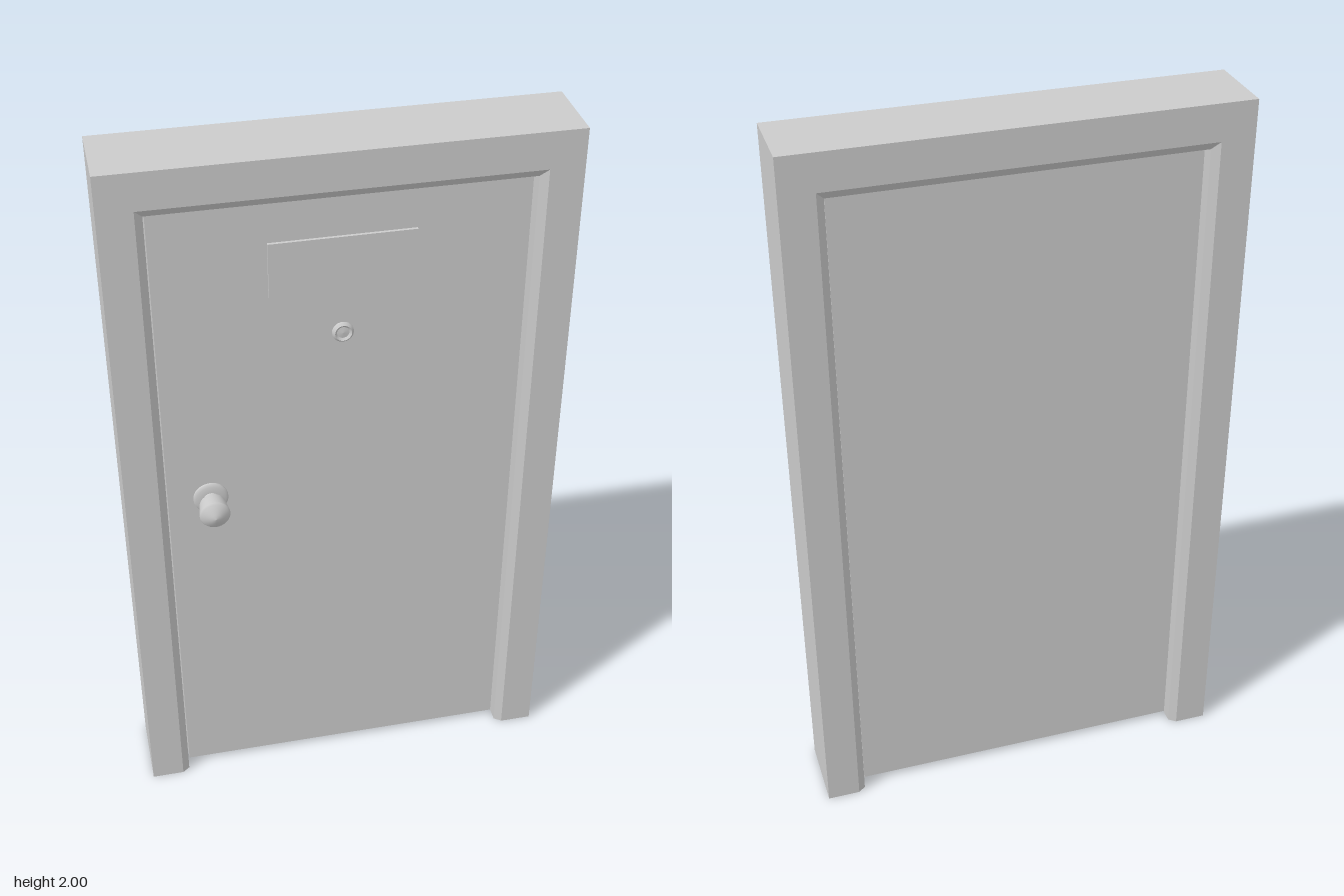
import * as THREE from 'three';

const grey = new THREE.MeshStandardMaterial({ color: 0xcccccc });

function add(group, name, geometry, x = 0, y = 0, z = 0) {
  const mesh = new THREE.Mesh(geometry, grey);
  mesh.name = name;
  mesh.position.set(x, y, z);
  group.add(mesh);
  return mesh;
}

// Mitred door frame: one jamb profile swept up, across and down
function frameGeometry() {
  // [inset from the outer edge, z]
  const profile = [[0, 0.075], [0.09, 0.075], [0.11, 0.06], [0.11, -0.12], [0.09, -0.135], [0, -0.135]];
  const stations = [[-1, 0], [-1, 1], [1, 1], [1, 0]]; // [side, at top]
  const n = profile.length;
  const point = (s, i) => {
    const [inset, z] = profile[i % n];
    const [side, top] = stations[s];
    return [side * (0.59 - inset), top ? 2 - inset * 1.1 : 0, z];
  };
  const pos = [];
  const tri = (a, b, c) => pos.push(...a, ...b, ...c);
  for (let s = 0; s < stations.length - 1; s++) {
    for (let i = 0; i < n; i++) {
      const a = point(s, i), b = point(s, i + 1), c = point(s + 1, i + 1), d = point(s + 1, i);
      tri(a, b, c);
      tri(a, c, d);
    }
  }
  // Feet of the two jambs
  for (let i = 1; i < n - 1; i++) {
    tri(point(0, 0), point(0, i + 1), point(0, i));
    tri(point(3, 0), point(3, i), point(3, i + 1));
  }
  const geometry = new THREE.BufferGeometry();
  geometry.setAttribute('position', new THREE.Float32BufferAttribute(pos, 3));
  geometry.computeVertexNormals();
  return geometry;
}

// Turned part whose axis points forward; each run of [radius, z] is smooth within itself
function turned(group, name, runs, x, y, segments = 32) {
  const part = new THREE.Group();
  part.name = name;
  part.position.set(x, y, 0);
  for (const run of runs) {
    const points = run.map(([r, z]) => new THREE.Vector2(r, z));
    const geometry = new THREE.LatheGeometry(points, segments).rotateX(Math.PI / 2);
    add(part, name + 'Surface', geometry);
  }
  group.add(part);
}

export function createModel() {
  const model = new THREE.Group();
  model.name = 'door';

  add(model, 'frame', frameGeometry());

  // Door leaf, set back from both faces of the frame
  add(model, 'doorLeaf', new THREE.BoxGeometry(0.95, 1.855, 0.13), 0, 0.9425, -0.03);
  add(model, 'plate', new THREE.BoxGeometry(0.374, 0.15, 0.01), 0, 1.685, 0.038);

  // Peephole: bevelled ring around a recessed lens
  turned(model, 'peephole', [
    [[0.028, 0.034], [0.028, 0.04]],
    [[0.028, 0.04], [0.022, 0.046]],
    [[0.022, 0.046], [0.016, 0.041]],
    [[0.016, 0.041], [0, 0.043]],
  ], 0, 1.485, 24);

  // Knob: rosette, neck, flared body and blunt conical end
  turned(model, 'knob', [
    [[0.047, 0.034], [0.047, 0.04]],
    [[0.047, 0.04], [0.04, 0.046], [0.022, 0.047]],
    [[0.022, 0.047], [0.022, 0.06]],
    [[0.022, 0.06], [0.035, 0.068]],
    [[0.035, 0.068], [0.037, 0.08], [0.041, 0.112]],
    [[0.041, 0.112], [0.037, 0.118], [0.014, 0.131], [0, 0.134]],
  ], -0.36, 1.01);

  return model;
}
